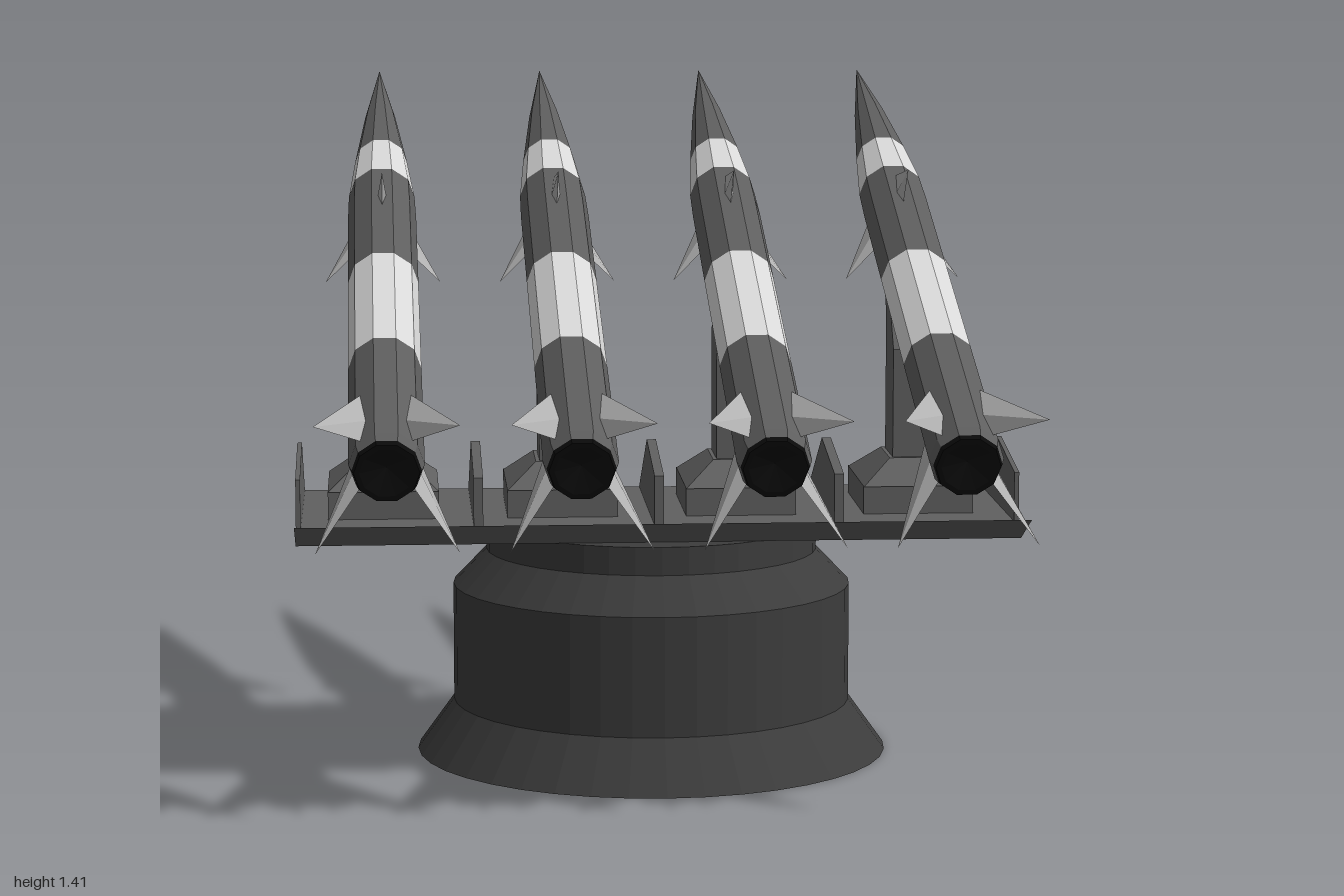
import * as THREE from 'three';

const paint = (name, color) => {
  const m = new THREE.MeshStandardMaterial({ color, flatShading: true });
  m.name = name;
  return m;
};

export function createModel() {
  const mats = {
    base: paint('baseGrey', 0x3c3c3c),
    frame: paint('frameGrey', 0x606060),
    body: paint('missileGrey', 0x5e5e5e),
    band: paint('bandLightGrey', 0xd8d8d8),
    fin: paint('finGrey', 0xb0b0b0),
    black: paint('nozzleBlack', 0x0b0b0b),
  };
  const model = new THREE.Group();
  model.name = 'missileLauncher';

  const add = (parent, name, geometry, material, x = 0, y = 0, z = 0) => {
    const mesh = new THREE.Mesh(geometry, material);
    mesh.name = name;
    mesh.position.set(x, y, z);
    parent.add(mesh);
    return mesh;
  };
  const lathe = (points, sides) =>
    new THREE.LatheGeometry(points.map(([r, y]) => new THREE.Vector2(r, y)), sides, Math.PI / 2);

  // Side profile given as [z, y] points, extruded across x and centred
  const sideExtrude = (points, width) => {
    const shape = new THREE.Shape(points.map(([z, y]) => new THREE.Vector2(-z, y)));
    return new THREE.ExtrudeGeometry(shape, { depth: width, bevelEnabled: false })
      .translate(0, 0, -width / 2).rotateY(Math.PI / 2);
  };

  // Four-sided block tapering from a lower to an upper rectangle
  const taperedBlock = (w0, d0, w1, d1, h) => {
    const g = new THREE.BoxGeometry(1, h, 1);
    const p = g.attributes.position;
    for (let i = 0; i < p.count; i++) {
      const top = p.getY(i) > 0;
      p.setX(i, p.getX(i) * (top ? w1 : w0));
      p.setZ(i, p.getZ(i) * (top ? d1 : d0));
    }
    g.computeVertexNormals();
    return g;
  };

  // Swept fin with a diamond root: x runs outward, y toward the nose
  const fin = (rootR, front, back, tipR, tipY, half) => {
    const mid = back + (front - back) * 0.35;
    const F = [rootR, front, 0], B = [rootR, back, 0], T = [tipR, tipY, 0];
    const L = [rootR, mid, half], R = [rootR, mid, -half];
    const corners = [F, L, T, L, B, T, T, R, F, T, B, R, F, R, L, R, B, L];
    const g = new THREE.BufferGeometry();
    g.setAttribute('position', new THREE.Float32BufferAttribute(corners.flat(), 3));
    g.computeVertexNormals();
    return g;
  };

  // Round base
  add(model, 'base', lathe([
    [0, 0], [0.509, 0], [0.43, 0.11], [0.43, 0.365], [0.358, 0.44], [0.358, 0.5], [0, 0.5],
  ], 40), mats.base, 0, 0, 0.052);

  // Platform with an upturned front lip
  add(model, 'platform', sideExtrude([
    [-0.2, 0.5], [0.345, 0.5], [0.487, 0.563], [0.31, 0.53], [-0.2, 0.53],
  ], 1.528), mats.frame);

  // Upright panels at both ends and between the missiles
  const panel = [[-0.2, 0.515], [0.31, 0.515], [0.31, 0.635], [0.055, 0.675], [-0.2, 0.532]];
  for (let i = -2; i <= 2; i++) {
    const end = Math.abs(i) === 2;
    add(model, end ? 'endPanel' : 'divider', sideExtrude(panel, end ? 0.01 : 0.02), mats.frame,
      end ? Math.sign(i) * 0.759 : i * 0.381);
  }

  const tailFin = fin(0.064, 0.25, 0.045, 0.2, -0.07, 0.014);
  const topCanard = fin(0.06, 1.25, 1.095, 0.17, 1.043, 0.01);
  const lowCanard = fin(0.06, 1.25, 1.095, 0.157, 1.043, 0.01);

  // Body sections from tail to nose, as [radius, height] profiles
  const sections = [
    ['nozzle', mats.black, [[0, 0.025], [0.054, 0], [0.065, 0], [0.069, 0.011]]],
    ['rearBody', mats.body, [[0.069, 0.011], [0.075, 0.035], [0.075, 0.445]]],
    ['rearBand', mats.band, [[0.075, 0.445], [0.075, 0.845]]],
    ['midBody', mats.body, [[0.075, 0.845], [0.075, 1.17], [0.073, 1.282]]],
    ['frontBand', mats.band, [[0.073, 1.282], [0.059, 1.468]]],
    ['nose', mats.body, [[0.059, 1.468], [0.035, 1.72], [0, 1.997]]],
  ];

  for (let i = 0; i < 4; i++) {
    const x = -0.58 + i * 0.3815;

    // Stand: foot, tapered plinth and bent post
    const stand = new THREE.Group();
    stand.name = 'stand';
    stand.position.x = x;
    model.add(stand);
    add(stand, 'foot', new THREE.BoxGeometry(0.236, 0.07, 0.295), mats.frame, 0, 0.555, 0.05);
    add(stand, 'plinth', taperedBlock(0.236, 0.295, 0.11, 0.16, 0.052), mats.frame, 0, 0.616, 0.058);
    add(stand, 'post', sideExtrude([
      [0.125, 0.6], [0.125, 0.875], [0.07, 0.95], [0.03, 1.01],
      [-0.06, 1.03], [-0.04, 0.995], [-0.008, 0.94], [-0.008, 0.6],
    ], 0.094), mats.frame);

    // Missile, built upright with local z as its upper side, then tilted
    const missile = new THREE.Group();
    missile.name = 'missile';
    missile.position.set(x + 0.007, 0.738, 0.885);
    missile.rotation.set(THREE.MathUtils.degToRad(-70.3), 0, 0.0035);
    model.add(missile);
    for (const [name, mat, pts] of sections) add(missile, name, lathe(pts, 10), mat);
    for (const deg of [45, 135, 225, 315])
      add(missile, 'tailFin', tailFin, mats.fin).rotation.y = THREE.MathUtils.degToRad(deg);
    add(missile, 'topCanard', topCanard, mats.fin).rotation.y = -Math.PI / 2;
    for (const deg of [37, 143])
      add(missile, 'lowerCanard', lowCanard, mats.fin).rotation.y = THREE.MathUtils.degToRad(deg);
  }
  return model;
}
